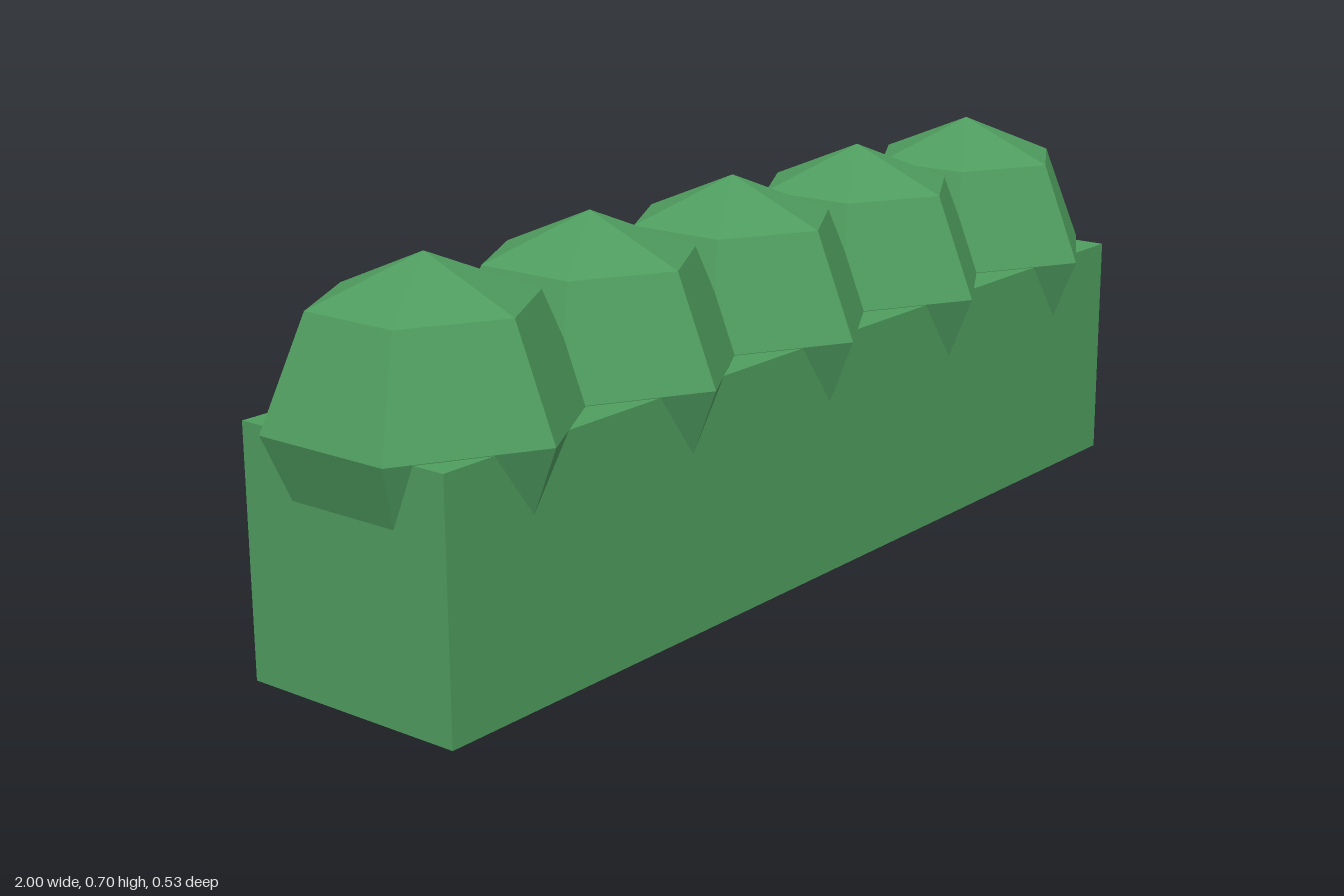
import * as THREE from 'three';

export function createModel() {
  const model = new THREE.Group();
  model.name = 'hedge';

  const leafGreen = new THREE.MeshStandardMaterial({ color: 0x4f9d5f, flatShading: true });
  leafGreen.name = 'leaf green';

  // Long clipped block standing on the ground
  const height = 0.434;
  const base = new THREE.Mesh(new THREE.BoxGeometry(1.92, height, 0.434), leafGreen);
  base.name = 'hedgeBase';
  base.position.y = height / 2;
  model.add(base);

  // Row of low-poly six-sided bushes, corners pointing to front and back
  const bushGeometry = new THREE.SphereGeometry(0.265, 6, 4).rotateY(Math.PI / 2);
  const spacing = 0.385;
  for (let i = -2; i <= 2; i++) {
    const bush = new THREE.Mesh(bushGeometry, leafGreen);
    bush.name = `bushTop${i + 3}`;
    bush.position.set(i * spacing, 0.435, 0);
    model.add(bush);
  }

  return model;
}
